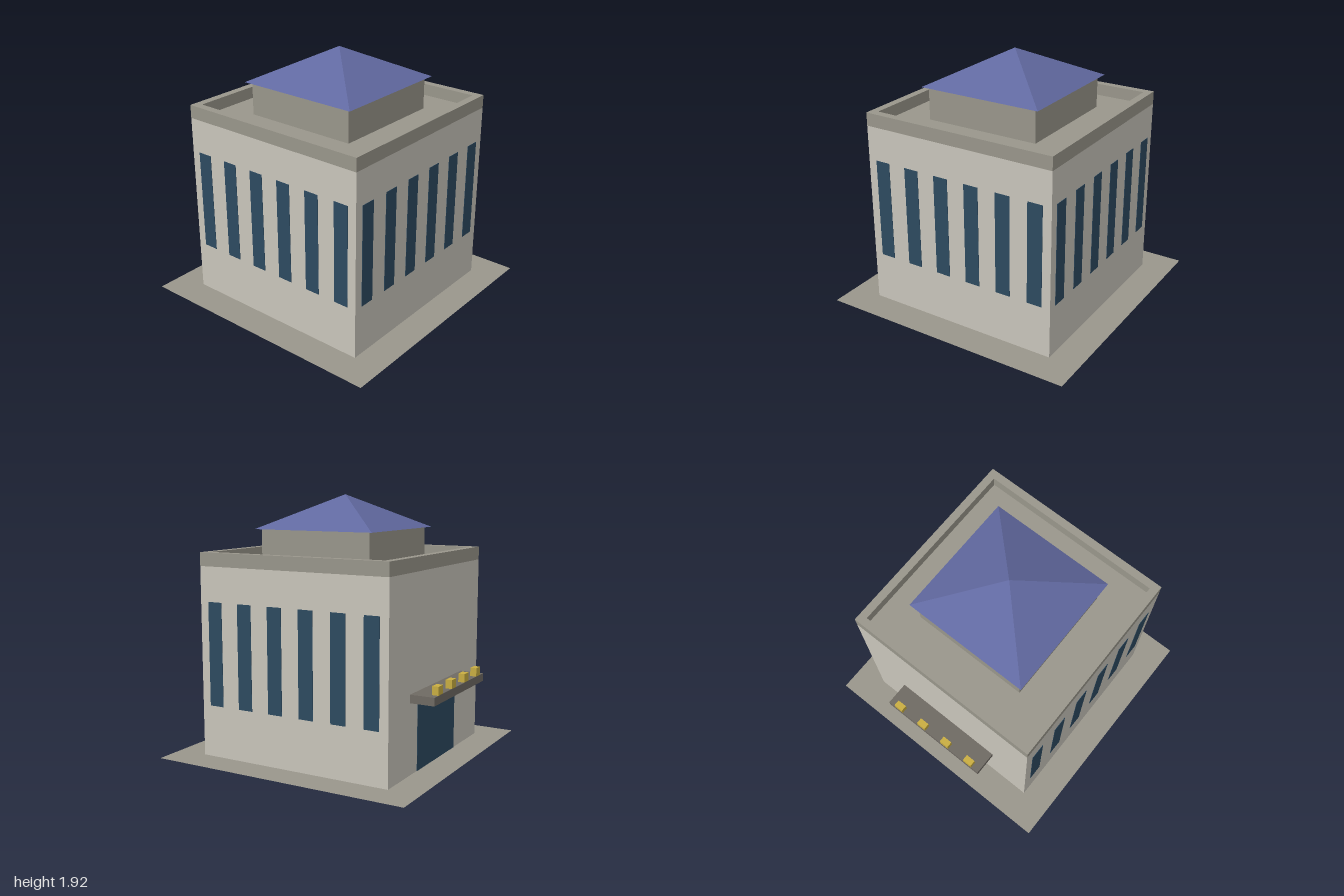
import * as THREE from 'three';

const material = (name, color) => {
  const m = new THREE.MeshStandardMaterial({ color });
  m.name = name;
  return m;
};

export function createModel() {
  const model = new THREE.Group();
  model.name = 'building';

  const wallStone = material('pale wall stone', 0xc9c5bb);
  const trimStone = material('grey trim stone', 0x99968b);
  const glass = material('dark blue glass', 0x2d4a60);
  const roofBlue = material('blue roof', 0x6169a0);
  const canopyGrey = material('dark canopy grey', 0x6f6a63);
  const gold = material('gold', 0xc9ae42);
  const ground = trimStone.clone();
  ground.name = 'grey paving';
  ground.side = THREE.DoubleSide;

  const add = (name, geometry, mat, parent = model) => {
    const mesh = new THREE.Mesh(geometry, mat);
    mesh.name = name;
    parent.add(mesh);
    return mesh;
  };
  // Box given by its centre in x and z and its bottom and top heights
  const block = (name, mat, w, d, y0, y1, x = 0, z = 0, parent = model) => {
    const mesh = add(name, new THREE.BoxGeometry(w, y1 - y0, d), mat, parent);
    mesh.position.set(x, (y0 + y1) / 2, z);
    return mesh;
  };

  const half = 0.768;

  // Paving sheet and main walls
  add('paving', new THREE.PlaneGeometry(2, 2).rotateX(-Math.PI / 2), ground);
  block('walls', wallStone, half * 2, half * 2, 0.002, 1.415);

  // Parapet ring around a sunken flat roof
  const square = (path, s) =>
    path.moveTo(-s, -s).lineTo(s, -s).lineTo(s, s).lineTo(-s, s).closePath();
  const ring = square(new THREE.Shape(), half);
  ring.holes.push(square(new THREE.Path(), 0.708));
  const parapet = add('parapet',
    new THREE.ExtrudeGeometry(ring, { depth: 0.1, bevelEnabled: false }).rotateX(-Math.PI / 2), trimStone);
  parapet.position.y = 1.415;
  block('flatRoof', trimStone, 1.416, 1.416, 1.41, 1.425);

  // Rooftop room with a pyramid roof
  block('roofRoom', trimStone, 0.894, 0.894, 1.42, 1.675);
  const pyramid = add('pyramidRoof',
    new THREE.ConeGeometry(0.485 * Math.SQRT2, 0.25, 4, 1).rotateY(Math.PI / 4).toNonIndexed(), roofBlue);
  pyramid.geometry.computeVertexNormals();
  pyramid.position.y = 1.8;

  // Six tall windows on the front and both sides
  [['front', 0], ['left', Math.PI / 2], ['right', -Math.PI / 2]].forEach(([side, angle]) => {
    const row = new THREE.Group();
    row.name = side + 'Windows';
    row.rotation.y = angle;
    for (let i = 0; i < 6; i++) {
      block('window', glass, 0.117, 0.006, 0.388, 1.158, (i - 2.5) * 0.2567, half, row);
    }
    model.add(row);
  });

  // Back entrance: door, canopy and gold blocks along its edge
  block('door', glass, 0.65, 0.006, 0.002, 0.515, 0, -half);
  block('canopy', canopyGrey, 0.894, 0.182, 0.52, 0.58, 0, -0.859);
  for (let i = 0; i < 4; i++) {
    block('canopyBlock', gold, 0.075, 0.048, 0.58, 0.643, (i - 1.5) * 0.23, -0.926);
  }

  return model;
}
